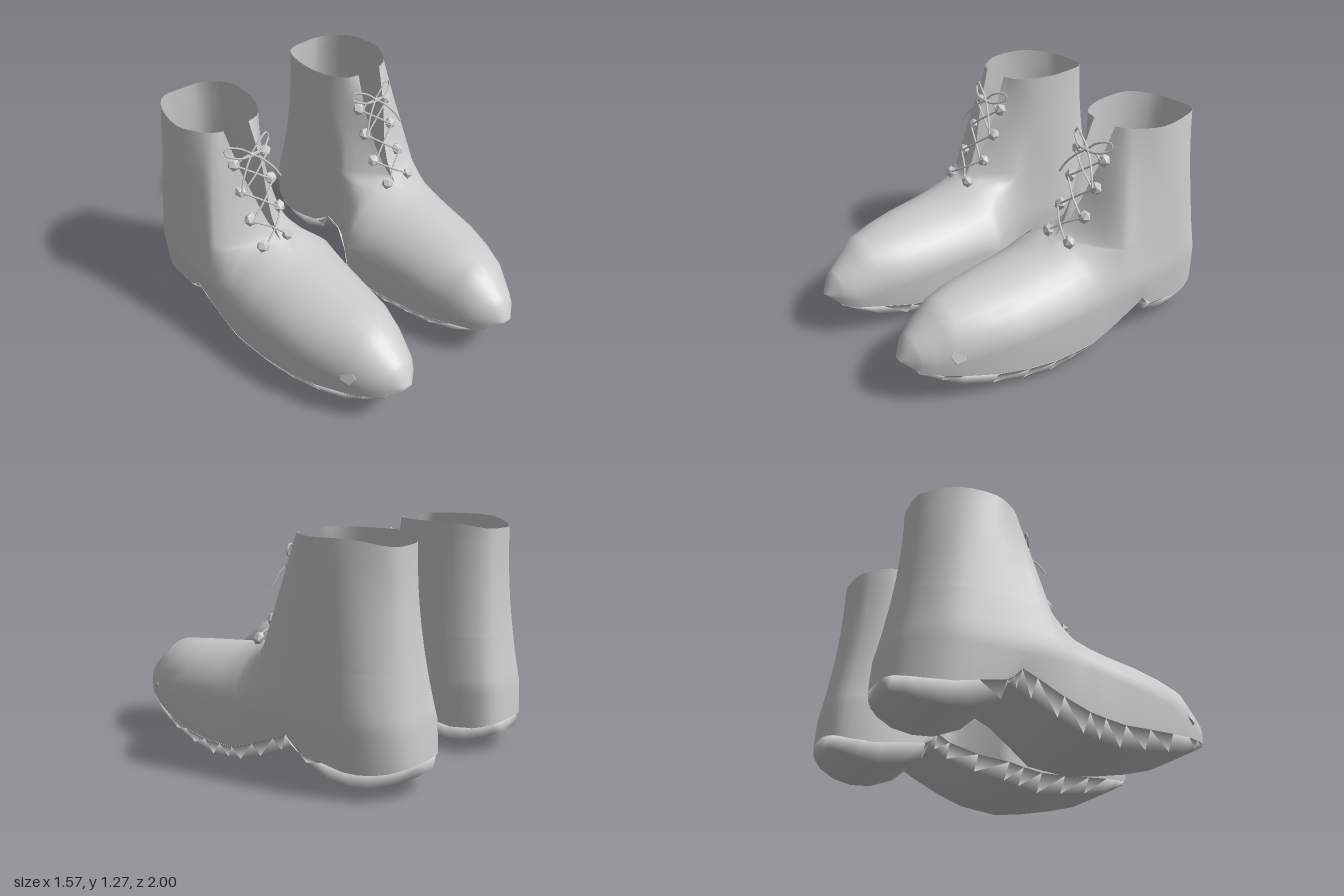
import * as THREE from 'three';
import { mergeVertices } from 'three/addons/utils/BufferGeometryUtils.js';

const V = (x, y, z) => new THREE.Vector3(x, y, z);
const mat = new THREE.MeshStandardMaterial({ color: 0xcccccc, side: THREE.DoubleSide });
const flat = new THREE.MeshStandardMaterial({ color: 0xcccccc, side: THREE.DoubleSide, flatShading: true });

// Piecewise linear lookup in [key, value] pairs
function at(table, k) {
  for (let i = 0; i < table.length - 1; i++) {
    const [a, va] = table[i], [b, vb] = table[i + 1];
    if ((k - a) * (k - b) <= 0) return va + (vb - va) * (k - a) / (b - a);
  }
  const first = table[0], last = table[table.length - 1];
  return Math.abs(k - first[0]) < Math.abs(k - last[0]) ? first[1] : last[1];
}

// Plan outline, keyed by z
const INNER = [[1, .35], [.93, .27], [.88, .23], [.74, .18], [.58, .13], [.25, .09], [0, .05],
  [-.15, .15], [-.3, .22], [-.6, .17], [-.83, .19], [-.95, .24], [-1, .34]];
const OUTER = [[1, .41], [.93, .5], [.88, .54], [.74, .62], [.5, .715], [.25, .75], [0, .78],
  [-.3, .785], [-.55, .77], [-.8, .73], [-.94, .65], [-1, .52]];
// Seam between upper and sole, and the ground side of the sole
const SEAM = [[1, .265], [.93, .21], [.74, .175], [.5, .13], [.2, .1], [0, .12], [-.15, .17],
  [-.38, .27], [-.44, .2], [-.75, .14], [-.9, .15], [-1, .18]];
const GROUND = [[.94, .2], [.74, .1], [.5, .04], [.23, 0], [0, .03], [-.2, .1],
  [-.42, .21], [-.46, .12], [-.6, .06], [-.72, .045], [-.85, .06], [-1, .12]];
// Top line of the foot by z; lace slot edges by y
const RIDGE = [[1, .28], [.95, .37], [.74, .53], [.2, .595], [.1, .615], [0, .65]];
const WIDEST = [[1, .27], [.88, .25], [.58, .3], [0, .35]];
const SLOT_Z = [[.65, 0], [.72, -.08], [.85, -.15], [1, -.2], [1.27, -.3]];
const SLOT_IN = [[.65, .43], [.85, .4], [1.05, .38], [1.27, .39]];
const SLOT_OUT = [[.65, .43], [.85, .47], [1.05, .52], [1.27, .55]];

const tuck = (x, f) => .43 + (x - .43) * f;

// Triangles for a grid of points
function pushGrid(rows, out) {
  for (let r = 0; r < rows.length - 1; r++) {
    for (let c = 0; c < rows[r].length - 1; c++) {
      const a = rows[r][c], b = rows[r][c + 1], d = rows[r + 1][c], e = rows[r + 1][c + 1];
      for (const t of [[a, b, d], [b, e, d]]) {
        const area = t[1].clone().sub(t[0]).cross(t[2].clone().sub(t[0])).length();
        if (area > 1e-8) t.forEach(p => out.push(p.x, p.y, p.z));
      }
    }
  }
}

function meshFrom(name, grids, smooth) {
  const out = [];
  grids.forEach(g => pushGrid(g, out));
  let geo = new THREE.BufferGeometry();
  geo.setAttribute('position', new THREE.Float32BufferAttribute(out, 3));
  if (smooth) geo = mergeVertices(geo, 1e-4);
  geo.computeVertexNormals();
  const m = new THREE.Mesh(geo, smooth ? mat : flat);
  m.name = name;
  return m;
}

// Arched cross-section of the foot, from inner seam over the ridge to outer seam
const N = 7;
function arch(z) {
  const mid = at(WIDEST, z), top = at(RIDGE, z), xi = at(INNER, z), xo = at(OUTER, z);
  const cx = .38 + .05 * (1 - z), y0 = at(SEAM, z);
  const slope = .15 * Math.max(0, 1 - z / .5); // straighter sides towards the ankle
  const side = (edge) => {
    const pts = [V(tuck(edge, .95), y0, z)];
    for (let i = 0; i <= N; i++) {
      const a = i / N * Math.PI / 2, s = Math.sin(a);
      const w = i === N ? 0 : Math.cos(a) * (1 - slope) + (1 - s) * slope;
      pts.push(V(cx + (edge - cx) * w, mid + (top - mid) * s, z));
    }
    return pts;
  };
  return [...side(xi), ...side(xo).reverse().slice(1)];
}

// Plan of the ankle part near the sole and at the collar, inner front round to outer front
const LOW = [[.15, -.15], [.22, -.3], [.17, -.6], [.19, -.83], [.26, -.97], [.42, -1], [.61, -.97],
  [.73, -.8], [.77, -.55], [.785, -.3], [.785, -.15]];
const HIGH = [[.32, -.32], [.26, -.4], [.225, -.53], [.235, -.71], [.33, -.86], [.46, -.885], [.57, -.875],
  [.68, -.71], [.71, -.5], [.66, -.39], [.61, -.33]];

function ankleRow(start, end, isSeam) {
  const y = start.y, rise = THREE.MathUtils.clamp((y - .3) / .97, 0, 1);
  const back = 1 - (1 - rise) ** 2, outer = Math.max(0, (y - .42) / .85);
  const ring = LOW.map(([x, z], i) => {
    const f = i > 6 ? outer : back;
    const px = x + (HIGH[i][0] - x) * f, pz = z + (HIGH[i][1] - z) * f;
    const dip = .035 * Math.max(0, (y - .65) / .62) * Math.max(0, (-pz - .75) / .13);
    return V(isSeam ? tuck(px, .95) : px, y - dip, pz);
  });
  const pts = new THREE.CatmullRomCurve3([start, ...ring, end]).getPoints(36);
  if (isSeam) pts.forEach(p => { p.y = at(SEAM, p.z); });
  return pts;
}

function upper() {
  const foot = [1, .975, .95, .93, .88, .81, .74, .58, .42, .2, .1, 0].map(arch);
  const tip = foot[0].map(() => V(.38, .27, 1));
  const last = foot[foot.length - 1], ankle = [];
  for (let j = 0; j <= N + 1; j++) ankle.push(ankleRow(last[j], last[last.length - 1 - j], j === 0));
  for (const y of [.69, .75, .85, .95, 1.05, 1.16, 1.27]) {
    const z = at(SLOT_Z, y);
    ankle.push(ankleRow(V(at(SLOT_IN, y), y, z), V(at(SLOT_OUT, y), y, z), false));
  }
  return meshFrom('upper', [[tip, ...foot], ankle.reverse()], true);
}

// Underside of the toe tip, ahead of the sole
function toeUnderside() {
  const rows = [1, .975, .95, .9].map(z => [V(tuck(at(OUTER, z), .95), at(SEAM, z), z), V(tuck(at(INNER, z), .95), at(SEAM, z), z)]);
  return meshFrom('toeUnderside', [rows], false);
}

// Sole with arch and heel, lofted from four-cornered sections
function sole() {
  const stations = [.94, .84, .74, .58, .4, .23, .1, 0, -.15, -.3, -.38, -.42, -.46, -.6, -.72, -.83, -.92, -.97, -1];
  const rows = stations.map(z => {
    const xi = at(INNER, z), xo = at(OUTER, z), s = at(SEAM, z), g = at(GROUND, z);
    const loop = [V(tuck(xo, .96), s, z), V(tuck(xo, .77), g, z), V(tuck(xi, .77), g, z), V(tuck(xi, .96), s, z)];
    return [...loop, loop[0]];
  });
  const toe = rows[0].map(() => V(.39, .207, .94));
  const end = rows[rows.length - 1].map(() => V(.43, .15, -1));
  return meshFrom('sole', [[toe, ...rows, end]], true);
}

function cord(name, points) {
  const curve = new THREE.CatmullRomCurve3(points.map(p => V(...p)));
  const m = new THREE.Mesh(new THREE.TubeGeometry(curve, 14, .006, 5), mat);
  m.name = name;
  return m;
}

function laces() {
  const g = new THREE.Group();
  g.name = 'laces';
  const levels = [[.67, -.005, .375], [.79, -.11, .35], [.94, -.185, .345], [1.09, -.235, .34]];
  const knob = new THREE.IcosahedronGeometry(.039, 0);
  levels.forEach(([y, z, xi], i) => {
    for (const x of [xi, .545]) {
      const k = new THREE.Mesh(knob, flat);
      k.name = 'eyelet';
      k.position.set(x, y, z);
      k.scale.z = .75;
      k.rotation.set(-.4, x * 2 - .9, i);
      g.add(k);
    }
    // Crossing cords up to the next pair
    if (i < 3) {
      const [y2, z2, x2] = levels[i + 1], ym = (y + y2) / 2, zm = (z + z2) / 2 + .02;
      g.add(cord('crossLace', [[xi, y, z + .02], [.445, ym, zm], [.545, y2, z2 + .02]]));
      g.add(cord('crossLace', [[.545, y, z + .02], [.445, ym, zm + .012], [x2, y2, z2 + .02]]));
    }
  });
  // Bow: a loop and a loose end to each side of the knot
  for (const s of [-1, 1]) {
    const x = d => .445 + s * d;
    g.add(cord('bowLoop', [[x(0), 1.13, -.21], [x(.06), 1.18, -.22], [x(.13), 1.195, -.25], [x(.145), 1.165, -.25],
      [x(.08), 1.13, -.21], [x(0), 1.12, -.2]]));
    g.add(cord('laceEnd', [[x(0), 1.13, -.205], [x(.05), 1.09, -.18], [x(.1), 1.03, -.15], [x(.13), .97, -.13]]));
    g.add(cord('knotLace', [[x(.1), 1.09, -.215], [x(.05), 1.12, -.215], [x(0), 1.125, -.21]]));
  }
  const knot = new THREE.Mesh(new THREE.IcosahedronGeometry(.016, 0), flat);
  knot.name = 'knot';
  knot.position.set(.445, 1.125, -.205);
  g.add(knot);
  return g;
}

function boot(name) {
  const g = new THREE.Group();
  g.name = name;
  g.add(upper(), toeUnderside(), sole(), laces());
  // Small flush patch on the outer side of the toe
  const patch = new THREE.Mesh(new THREE.CylinderGeometry(.045, .055, .02, 5), flat);
  patch.name = 'toePatch';
  patch.position.set(.59, .31, .77);
  patch.rotation.set(0, -.5, -1.25);
  g.add(patch);
  return g;
}

export function createModel() {
  const model = new THREE.Group();
  model.name = 'boots';
  const right = boot('rightBoot');
  right.scale.x = -1;
  model.add(boot('leftBoot'), right);
  return model;
}
